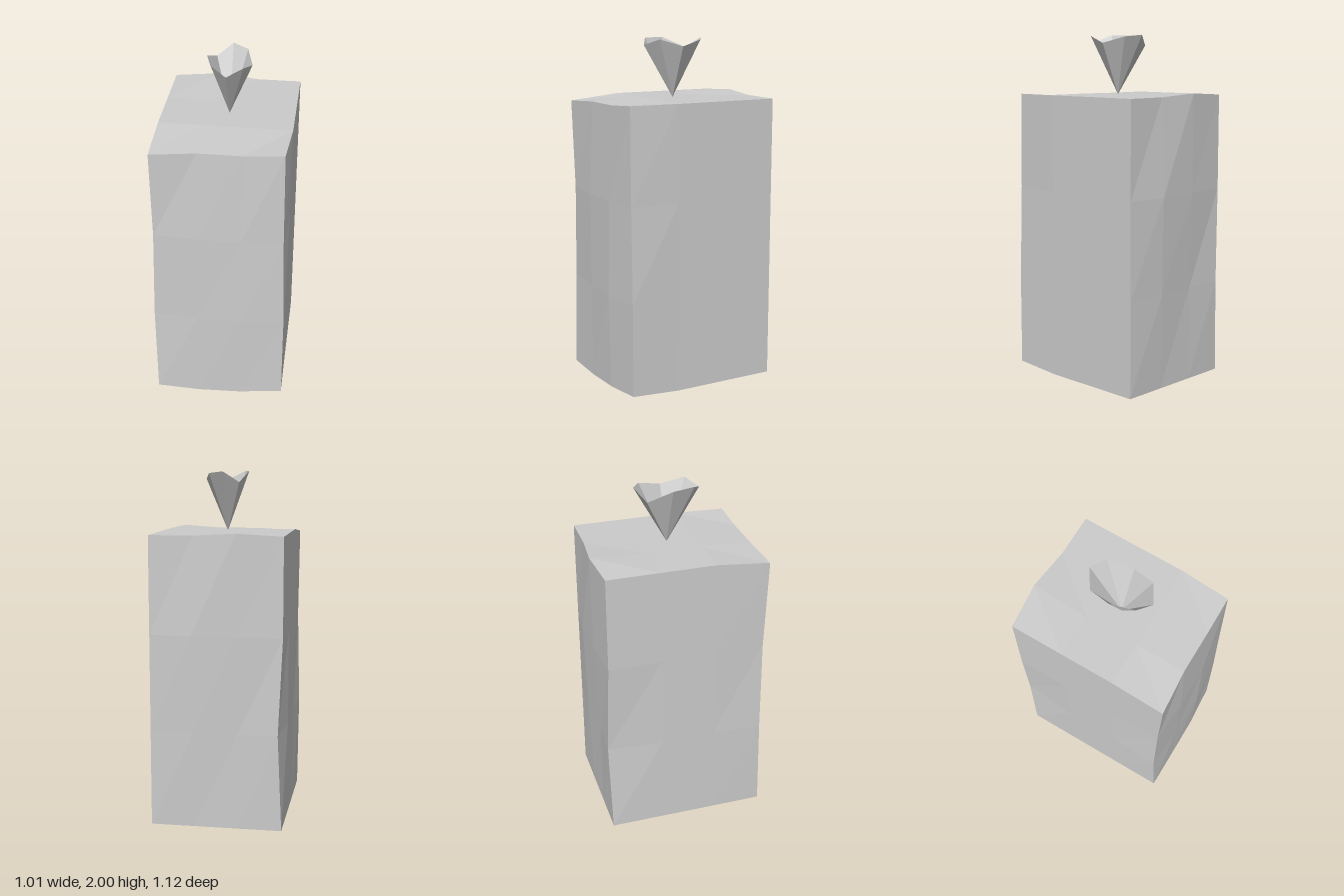
import * as THREE from 'three';

const grey = () => new THREE.MeshStandardMaterial({ color: 0xcccccc, flatShading: true });

// Hand-hewn block: a 3x3x3 box turned 20 degrees with a few grid points nudged.
function makeBlock() {
  const w = 0.745, h = 1.65, d = 0.925;
  const geo = new THREE.BoxGeometry(w, h, d, 3, 3, 3);
  // column, level, row, then the offset in x, y, z
  const nudges = [
    [0, 3, 3, 0, -0.03, 0], [0, 2, 3, 0, 0, -0.016], [0, 1, 3, -0.013, 0, -0.012],
    [3, 3, 3, -0.025, 0, -0.012], [3, 2, 3, -0.018, 0, -0.012],
    [3, 1, 3, -0.003, 0, -0.015], [3, 0, 3, -0.003, 0.02, -0.015],
    [0, 1, 0, 0.017, 0, -0.02],
    [1, 3, 0, 0, 0.015, -0.025], [2, 2, 0, 0, 0, -0.028], [1, 2, 0, 0, 0, -0.02], [2, 1, 0, 0, 0, -0.015],
    [1, 3, 3, 0, -0.015, -0.02], [2, 3, 3, 0, -0.015, -0.02],
    [2, 1, 3, 0, 0, 0.01], [1, 0, 3, 0, -0.01, 0],
  ];
  const offsets = new Map(nudges.map(([i, j, k, ...o]) => [`${i},${j},${k}`, new THREE.Vector3(...o)]));
  const pos = geo.attributes.position;
  const up = new THREE.Vector3(0, 1, 0), v = new THREE.Vector3();
  const cell = (value, size) => Math.round((value / size + 0.5) * 3);
  for (let n = 0; n < pos.count; n++) {
    v.fromBufferAttribute(pos, n);
    const offset = offsets.get(`${cell(v.x, w)},${cell(v.y, h)},${cell(v.z, d)}`);
    v.applyAxisAngle(up, THREE.MathUtils.degToRad(20));
    if (offset) v.add(offset);
    pos.setXYZ(n, v.x, v.y + 0.835, v.z);
  }
  geo.computeVertexNormals();
  const mesh = new THREE.Mesh(geo, grey());
  mesh.name = 'block';
  return mesh;
}

// Open, eight-sided cone standing on its tip, with an uneven rim.
function makeCone() {
  const tip = [0, 1.66, -0.013];
  const rim = [
    [-0.065, 2, -0.19], [0.035, 1.99, -0.17], [0.118, 1.955, -0.055], [0.13, 1.995, 0.08],
    [0.065, 1.962, 0.163], [-0.035, 2, 0.142], [-0.116, 2, 0.03], [-0.127, 1.94, -0.11],
  ];
  const points = [];
  rim.forEach((p, i) => points.push(...tip, ...p, ...rim[(i + 1) % rim.length]));
  const geo = new THREE.BufferGeometry();
  geo.setAttribute('position', new THREE.Float32BufferAttribute(points, 3));
  geo.computeVertexNormals();
  const material = grey();
  material.side = THREE.DoubleSide;
  const mesh = new THREE.Mesh(geo, material);
  mesh.name = 'openCone';
  return mesh;
}

export function createModel() {
  const group = new THREE.Group();
  group.name = 'blockWithCone';
  group.add(makeBlock(), makeCone());
  return group;
}
